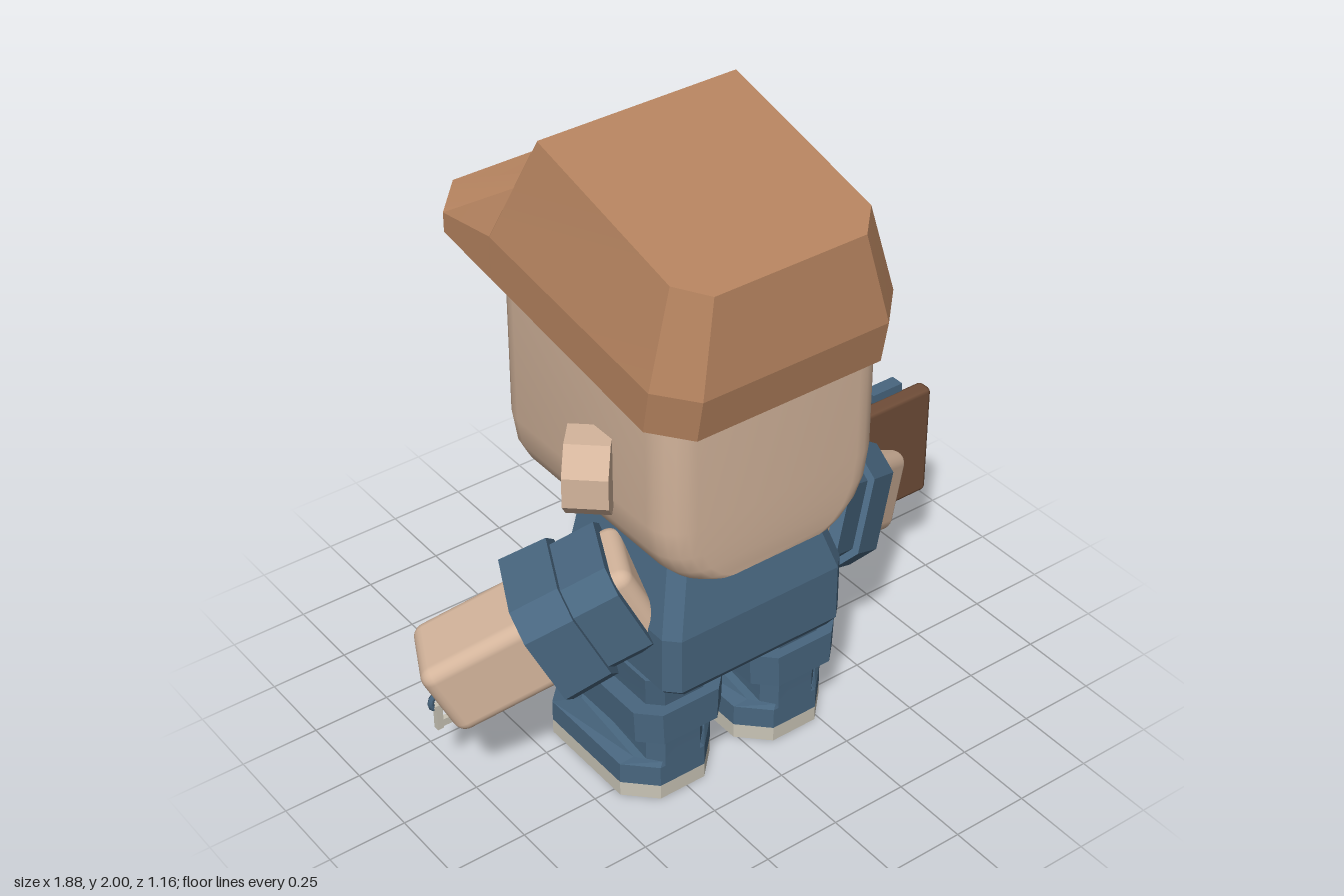
import * as THREE from 'three';
import { toCreasedNormals } from 'three/addons/utils/BufferGeometryUtils.js';
import { RoundedBoxGeometry } from 'three/addons/geometries/RoundedBoxGeometry.js';

const material = (name, color) => new THREE.MeshStandardMaterial({ name, color });

// Horizontal rounded (n > 1) or chamfered (n = 1) rectangle; y is a number or a function of z
function ring(hw, zf, zb, y, cf, cb = cf, n = 1) {
  const pts = [];
  for (let k = 0; k < 4; k++) {
    const sx = k === 0 || k === 3 ? 1 : -1, front = k < 2, r = front ? cf : cb;
    for (let i = 0; i <= n; i++) {
      const a = (k + i / n) * Math.PI / 2;
      const x = sx * (hw - r) + r * Math.cos(a);
      const z = (front ? zf + r : zb - r) - r * Math.sin(a);
      pts.push(new THREE.Vector3(x, typeof y === 'function' ? y(z) : y, z));
    }
  }
  return pts;
}

// Closed solid through rings listed from bottom to top
function loft(rings, crease = 0.15) {
  const pos = [], n = rings[0].length;
  const tri = (...vs) => vs.forEach(v => pos.push(v.x, v.y, v.z));
  for (let j = 0; j + 1 < rings.length; j++) {
    for (let i = 0; i < n; i++) {
      const k = (i + 1) % n, a = rings[j], b = rings[j + 1];
      tri(a[i], a[k], b[k]);
      tri(a[i], b[k], b[i]);
    }
  }
  const centre = r => r.reduce((s, v) => s.add(v), new THREE.Vector3()).divideScalar(n);
  const lo = rings[0], hi = rings[rings.length - 1], cl = centre(lo), ch = centre(hi);
  for (let i = 0; i < n; i++) {
    const k = (i + 1) % n;
    tri(cl, lo[k], lo[i]);
    tri(ch, hi[i], hi[k]);
  }
  const g = new THREE.BufferGeometry();
  g.setAttribute('position', new THREE.Float32BufferAttribute(pos, 3));
  return toCreasedNormals(g, crease);
}

const line = (z0, y0, z1, y1) => z => y0 + (z - z0) * (y1 - y0) / (z1 - z0);

export function createModel() {
  const root = new THREE.Group();
  const body = new THREE.Group();
  body.name = 'body';
  body.position.x = -0.055;
  root.add(body);

  const skin = material('skin', 0xd4b59c);
  const tan = material('hatTan', 0xb5835f);
  const blue = material('workBlue', 0x48667f);
  const brown = material('boardBrown', 0x6f4d38);
  const dark = material('moustacheBrown', 0x5b3f2b);
  const pale = material('paleGrey', 0xc9c4b6);

  function add(parent, name, geo, mat, x = 0, y = 0, z = 0) {
    const m = new THREE.Mesh(geo, mat);
    m.name = name;
    m.position.set(x, y, z);
    parent.add(m);
    return m;
  }
  const box = (w, h, d) => new THREE.BoxGeometry(w, h, d);

  // Head: upright rounded block narrowing sideways at the jaw
  const jaw = [[0.25, 0.87], [0.29, 0.89], [0.33, 0.93], [0.36, 0.99], [0.375, 1.08], [0.375, 1.53]];
  add(body, 'head', loft(jaw.map(([w, y]) => ring(w, -0.29, 0.52, y, 0.1, 0.1, 5)), 0.7), skin);

  // Hat crown and peak
  const under = line(0.56, 1.41, -0.58, 1.595);
  add(body, 'hatCrown', loft([
    ring(0.41, -0.24, 0.56, under, 0.002, 0.1),
    ring(0.41, -0.24, 0.585, line(0.585, 1.545, -0.24, 1.675), 0.002, 0.1),
    ring(0.33, -0.11, 0.55, line(0.55, 1.825, -0.11, 2), 0.002, 0.08),
  ]), tan);
  const peak = [[0.41, -0.24, 1.675], [0.41, -0.47, 1.64], [0.305, -0.58, 1.655]];
  const outline = [...peak, ...peak.slice().reverse().map(([x, z, y]) => [-x, z, y])];
  add(body, 'hatPeak', loft([
    outline.map(([x, z]) => new THREE.Vector3(x, under(z), z)),
    outline.map(([x, z, y]) => new THREE.Vector3(x, y, z)),
  ]), tan);

  // Eyes: domes with a notch cut from below
  const eye = new THREE.Shape();
  eye.moveTo(0, -0.02);
  eye.absellipse(0, 0, 0.058, 0.07, -0.9, Math.PI * 2 - 2.0, false, 0);
  eye.closePath();
  const eyeGeo = new THREE.ExtrudeGeometry(eye, { depth: 0.006, bevelEnabled: false, curveSegments: 12 });
  for (const s of [-1, 1]) {
    add(body, 'eye', eyeGeo, blue, s * 0.16, 1.25, -0.296);
  }
  add(body, 'mouth', box(0.09, 0.045, 0.008), blue, 0, 1.05, -0.294);

  // Moustache: angular arch
  const arch = new THREE.Shape([
    [-0.14, 1.02], [-0.1, 1.125], [-0.06, 1.155], [0.06, 1.155], [0.1, 1.125], [0.14, 1.02],
    [0.08, 1.0], [0.05, 1.08], [-0.05, 1.08], [-0.08, 1.0],
  ].map(p => new THREE.Vector2(...p)));
  add(body, 'moustache', new THREE.ExtrudeGeometry(arch, { depth: 0.08, bevelEnabled: false }), dark, 0, 0, -0.365);

  // Torso with undershirt, badge and pockets
  add(body, 'torso', loft([
    ring(0.3, -0.06, 0.44, 0.44, 0.04), ring(0.32, -0.09, 0.455, 0.465, 0.04),
    ring(0.32, -0.09, 0.455, 0.65, 0.04), ring(0.255, -0.09, 0.395, 0.87, 0.04),
    ring(0.22, 0, 0.3, 0.91, 0.04),
  ]), blue);
  const vee = new THREE.Shape([[-0.09, 0.87], [0, 0.745], [0.09, 0.87]].map(p => new THREE.Vector2(...p)));
  add(body, 'undershirt', new THREE.ExtrudeGeometry(vee, { depth: 0.008, bevelEnabled: false }), tan, 0, 0, -0.096);
  add(body, 'badge', box(0.09, 0.035, 0.04), pale, 0.16, 0.78, -0.115);
  for (const s of [-1, 1]) {
    add(body, 'pocket', new RoundedBoxGeometry(0.12, 0.085, 0.045, 1, 0.012), blue, s * 0.155, 0.66, -0.103);
  }

  for (const s of [-1, 1]) {
    const side = s > 0 ? 'left' : 'right';

    // Ear: octagonal disc turned towards the face
    const ear = new THREE.CylinderGeometry(0.1245, 0.1245, 0.127, 8).rotateY(Math.PI / 8);
    ear.rotateZ(-Math.PI / 2).rotateY(s > 0 ? 0.73 : -0.73);
    add(body, side + 'Ear', toCreasedNormals(ear, 0.3), skin, s * 0.412, 1.165, 0.217);

    // Leg, knee band and shoe
    const leg = new THREE.Group();
    leg.name = side + 'Leg';
    leg.position.x = s * 0.21;
    body.add(leg);
    add(leg, 'trouser', loft([
      ring(0.103, 0, 0.365, 0.12, 0.04), ring(0.103, 0, 0.365, 0.3, 0.04), ring(0.118, -0.005, 0.385, 0.46, 0.04),
    ]), blue);
    add(leg, 'kneeBand', loft([
      ring(0.155, -0.01, 0.405, 0.25, 0.06), ring(0.16, -0.01, 0.405, 0.36, 0.06),
    ]), blue);
    add(leg, 'sole', loft([ring(0.165, -0.15, 0.365, 0, 0.085), ring(0.165, -0.15, 0.365, 0.05, 0.085)]), pale);
    add(leg, 'shoe', loft([
      ring(0.165, -0.15, 0.365, 0.05, 0.085), ring(0.165, -0.15, 0.365, 0.12, 0.085),
      ring(0.13, -0.02, 0.36, line(-0.02, 0.2, 0.36, 0.135), 0.06),
    ]), blue);

    // Arm: local y runs from the hand up to the shoulder
    const arm = new THREE.Group();
    arm.name = side + 'Arm';
    const up = new THREE.Vector3(-s * 0.8, 0.45, 0.4).normalize();
    const across = new THREE.Vector3(0, 1, 0).cross(up).normalize();
    const basis = new THREE.Matrix4().makeBasis(across, up, across.clone().cross(up));
    arm.quaternion.setFromRotationMatrix(basis);
    arm.position.set(s * 0.795, 0.44, -0.03);
    body.add(arm);
    add(arm, 'forearm', new RoundedBoxGeometry(0.255, 0.67, 0.255, 3, 0.04), skin, 0, 0.335, 0);
    add(arm, 'sleeve', loft([
      ring(0.165, -0.165, 0.165, 0.42, 0.06), ring(0.165, -0.165, 0.165, 0.62, 0.06),
    ]), blue);
    add(arm, 'sleeveCuff', loft([
      ring(0.19, -0.19, 0.19, 0.33, 0.07), ring(0.185, -0.185, 0.185, 0.48, 0.07),
    ]), blue);
  }

  // Clipboard with paper, ruled lines and clip
  const board = new THREE.Group();
  board.name = 'clipboard';
  board.position.set(0.805, 0.55, 0.008);
  root.add(board);
  add(board, 'backing', new RoundedBoxGeometry(0.28, 0.39, 0.056, 1, 0.015), brown);
  add(board, 'paper', box(0.22, 0.31, 0.008), pale, 0, -0.015, -0.03);
  for (let i = 0; i < 4; i++) {
    const w = i % 2 ? 0.11 : 0.14;
    add(board, 'ruledLine', box(w, 0.016, 0.008), blue, 0.07 - w / 2, 0.075 - i * 0.06, -0.034);
  }
  add(board, 'clip', box(0.115, 0.05, 0.045), blue, 0, 0.195, -0.042);

  // Key hanging below the right hand
  const key = new THREE.Group();
  key.name = 'key';
  key.position.set(-0.825, 0.24, -0.055);
  root.add(key);
  add(key, 'keyRing', new THREE.TorusGeometry(0.028, 0.01, 6, 12), blue, 0, 0.1, 0);
  add(key, 'keyShaft', box(0.02, 0.09, 0.02), pale, -0.005, 0.045, 0);
  add(key, 'keyTooth', box(0.045, 0.025, 0.018), pale, 0.02, 0.017, 0);
  add(key, 'keyBow', box(0.045, 0.02, 0.02), pale, 0, 0.08, 0);
  return root;
}
